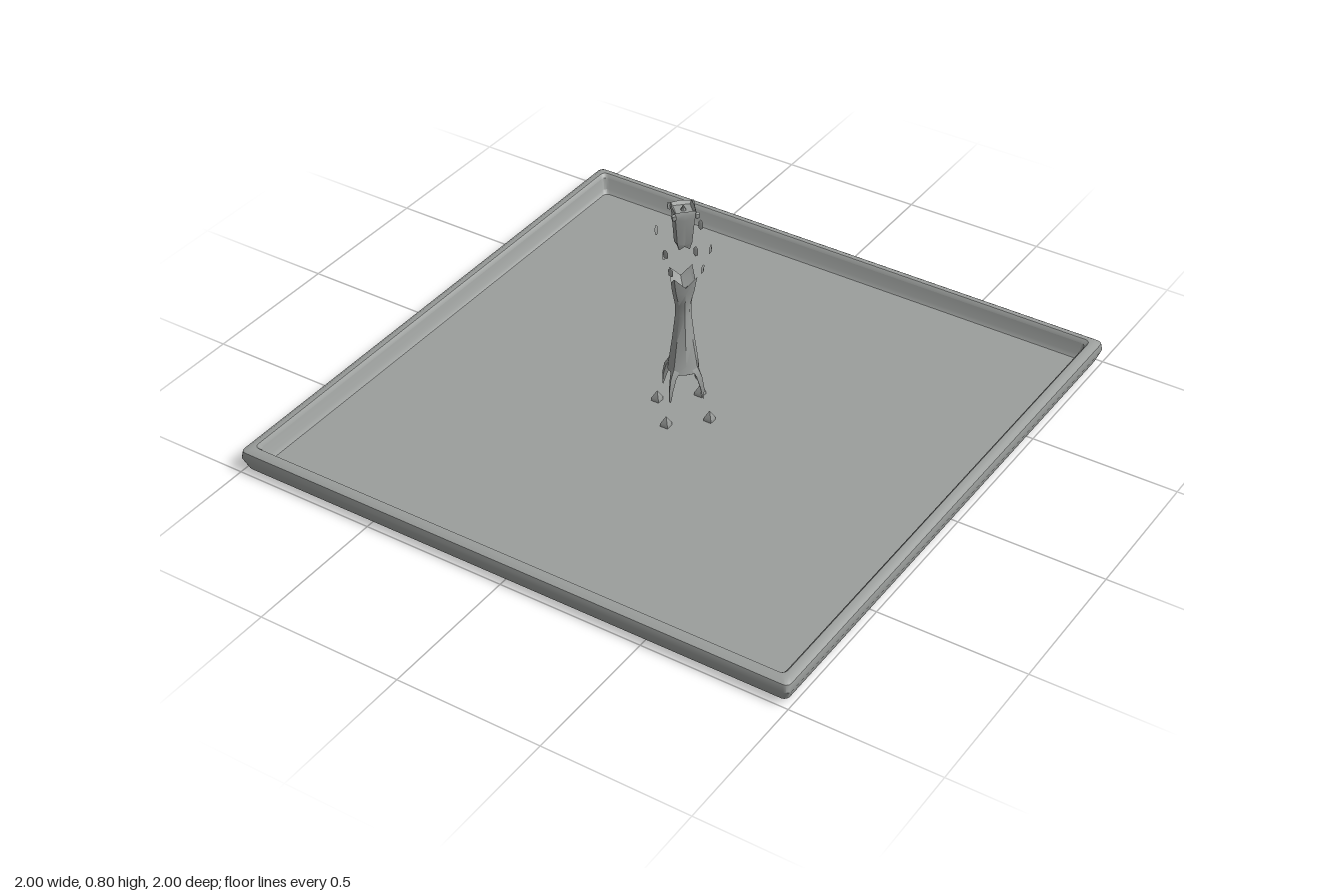
import * as THREE from 'three';
import { toCreasedNormals } from 'three/addons/utils/BufferGeometryUtils.js';

const grey = new THREE.MeshStandardMaterial({ color: 0x9b9e9c, side: THREE.DoubleSide });

// Skin a stack of closed loops, each running counterclockwise seen from above.
function loft(name, rings) {
  const pos = [];
  const tri = (a, b, c) => {
    const area = b.clone().sub(a).cross(c.clone().sub(a)).length();
    if (area > 1e-10) pos.push(...a, ...b, ...c);
  };
  for (let i = 0; i < rings.length - 1; i++) {
    const lo = rings[i], hi = rings[i + 1], n = lo.length;
    for (let j = 0; j < n; j++) {
      const k = (j + 1) % n;
      tri(lo[j], lo[k], hi[k]);
      tri(lo[j], hi[k], hi[j]);
    }
  }
  const geo = new THREE.BufferGeometry();
  geo.setAttribute('position', new THREE.Float32BufferAttribute(pos, 3));
  // Creasing merges corners on a coarse grid, so it is done at a larger scale.
  geo.scale(100, 100, 100);
  const creased = toCreasedNormals(geo, 0.7);
  creased.scale(0.01, 0.01, 0.01);
  const mesh = new THREE.Mesh(creased, grey);
  mesh.name = name;
  return mesh;
}

// Square loop with small rounded corners.
function squareRing([half, y]) {
  const r = Math.min(0.018, half), pts = [];
  for (let q = 0; q < 4; q++) {
    const mid = Math.PI / 4 + q * Math.PI / 2;
    const cx = Math.sign(Math.cos(mid)) * (half - r), cz = -Math.sign(Math.sin(mid)) * (half - r);
    for (let s = 0; s <= 3; s++) {
      const t = (q + s / 3) * Math.PI / 2;
      pts.push(new THREE.Vector3(cx + r * Math.cos(t), y, cz - r * Math.sin(t)));
    }
  }
  return pts;
}

// Eight-point loop: radius and height on the axes, then on the diagonals.
function starRing([ra, ya, rd, yd]) {
  return Array.from({ length: 8 }, (_, j) => {
    const t = j * Math.PI / 4, axis = j % 2 === 0, r = axis ? ra : rd;
    return new THREE.Vector3(r * Math.cos(t), axis ? ya : yd, -r * Math.sin(t));
  });
}

// Four-point loop around (x, y) with radial and sideways half widths.
function diamondRing([x, y, w, d]) {
  return [[w, 0], [0, -d], [-w, 0], [0, d]].map(([dx, dz]) => new THREE.Vector3(x + dx, y, dz));
}

// Axis-aligned four-point loop around (x, y).
function boxRing([x, y, w]) {
  return [[w, w], [w, -w], [-w, -w], [-w, w]].map(([dx, dz]) => new THREE.Vector3(x + dx, y, dz));
}

// Repeat a part on all four sides.
function fourTimes(name, make) {
  const group = new THREE.Group();
  group.name = name;
  for (let i = 0; i < 4; i++) {
    const part = make();
    part.rotation.y = i * Math.PI / 2;
    group.add(part);
  }
  return group;
}

// Thin flying droplet, its broad side facing outward
const droplet = (x, y) => loft('droplet', [
  [x - 0.003, y - 0.018, 0, 0], [x - 0.001, y - 0.012, 0.002, 0.008],
  [x, y + 0.008, 0.003, 0.009], [x + 0.001, y + 0.018, 0, 0],
].map(diamondRing));

export function createModel() {
  const model = new THREE.Group();

  // Shallow square tray with a bevelled rim and stepped underside
  model.add(loft('basin', [
    [0, 0.003], [0.92, 0.003], [0.945, 0.015], [0.985, 0.015], [1, 0.055], [0.996, 0.08],
    [0.982, 0.09], [0.965, 0.09], [0.955, 0.078], [0.95, 0.035], [0.94, 0.022], [0, 0.022],
  ].map(squareRing)));

  // Rising column of water with a four-pointed crown
  model.add(loft('waterColumn', [
    [0, 0.24, 0, 0.24], [0.045, 0.185, 0.045, 0.19], [0.058, 0.19, 0.051, 0.195],
    [0.052, 0.22, 0.048, 0.225], [0.036, 0.31, 0.036, 0.31], [0.024, 0.4, 0.026, 0.4],
    [0.025, 0.44, 0.027, 0.44], [0.042, 0.5, 0.036, 0.49], [0.052, 0.555, 0.039, 0.518],
    [0.04, 0.53, 0.031, 0.51], [0, 0.49, 0, 0.49],
  ].map(starRing)));

  // Tapering streams at the foot of the column
  model.add(fourTimes('footStreams', () => loft('footStream', [
    [0.077, 0.095, 0, 0], [0.076, 0.105, 0.003, 0.005], [0.071, 0.14, 0.009, 0.008],
    [0.059, 0.18, 0.013, 0.012], [0.046, 0.205, 0.012, 0.016], [0.035, 0.24, 0, 0],
  ].map(diamondRing))));

  // Separated splash floating above, with a shallow hollow top
  model.add(loft('upperSplash', [
    [0, 0.665, 0, 0.665], [0.024, 0.648, 0.022, 0.662], [0.033, 0.675, 0.029, 0.672],
    [0.043, 0.765, 0.036, 0.765], [0.05, 0.783, 0.038, 0.787],
    [0.046, 0.795, 0.035, 0.797], [0.038, 0.785, 0.027, 0.785],
    [0.009, 0.784, 0.009, 0.784], [0, 0.803, 0, 0.803],
  ].map(starRing)));

  // Small tips on the lip
  model.add(fourTimes('lipTips', () => loft('lipTip', [
    [0.05, 0.766, 0, 0], [0.052, 0.776, 0.008, 0.01],
    [0.052, 0.788, 0.008, 0.009], [0.048, 0.793, 0, 0],
  ].map(diamondRing))));

  // Flying droplets around the gap
  model.add(fourTimes('outerDroplets', () => droplet(0.1, 0.675)));
  model.add(fourTimes('innerDroplets', () => droplet(0.072, 0.592)));

  // Drops landing on the basin floor
  model.add(fourTimes('floorDrops', () => loft('floorDrop', [
    [0.1, 0, 0], [0.1, 0, 0.01], [0.1, 0.022, 0.014], [0.1, 0.034, 0.013], [0.1, 0.059, 0],
  ].map(boxRing))));

  return model;
}
